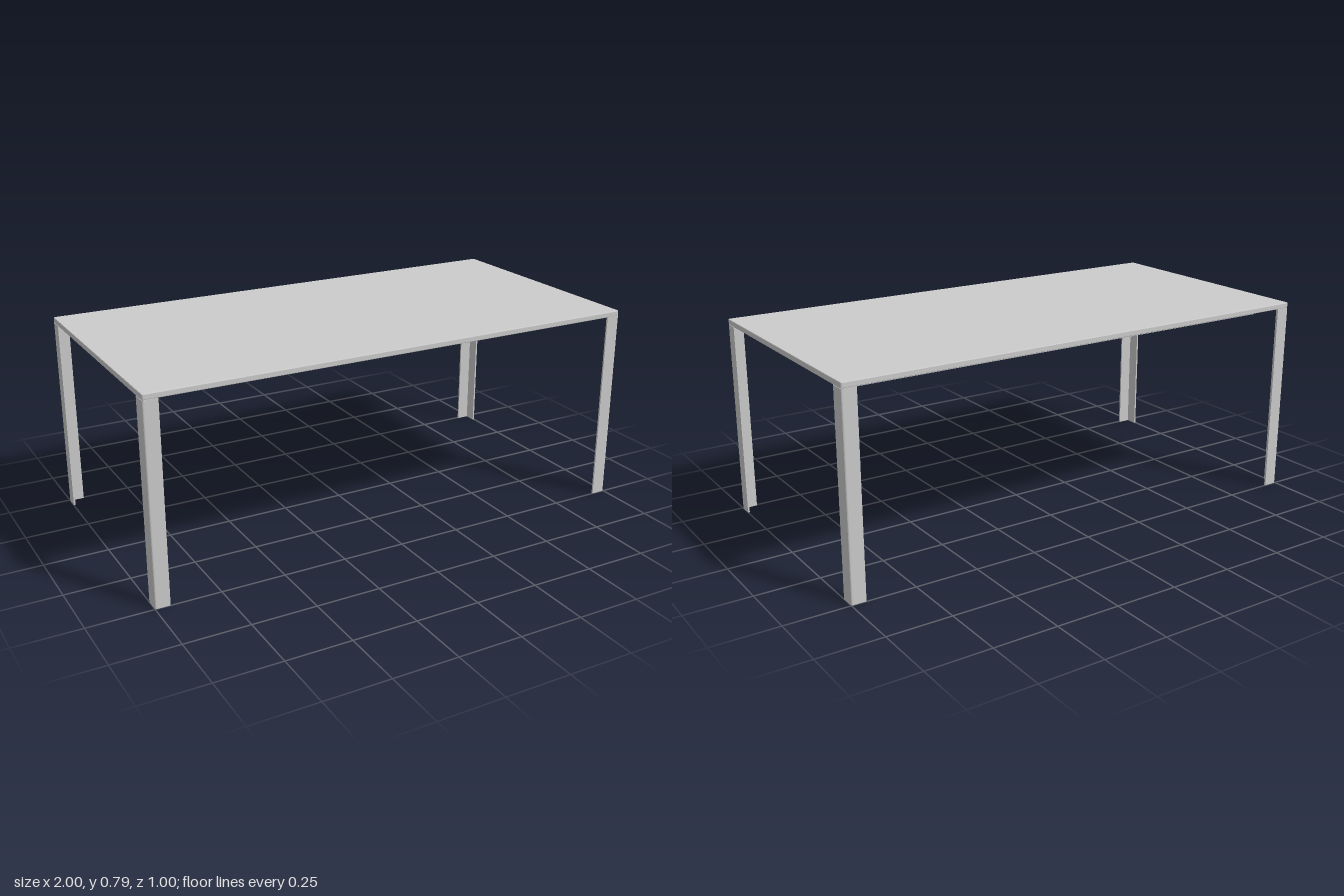
import * as THREE from 'three';

const material = new THREE.MeshStandardMaterial({ color: 0xcccccc });
const W = 1, D = 0.5;                       // half width and half depth
const TOP = 0.79, UNDER = 0.768;            // table top surface and underside
const R = 0.008;                            // outer corner radius

// Rectangle with rounded corners, centred on the origin
function roundedRect(w, d, r) {
  const s = new THREE.Shape();
  s.absarc(w - r, d - r, r, 0, Math.PI / 2);
  s.absarc(-w + r, d - r, r, Math.PI / 2, Math.PI);
  s.absarc(-w + r, -d + r, r, Math.PI, Math.PI * 1.5);
  s.absarc(w - r, -d + r, r, Math.PI * 1.5, Math.PI * 2);
  s.closePath();
  return s;
}

// Extrudes a plan shape upwards from y0 to y1, with an optional edge bevel
function slab(name, shape, y0, y1, bevel = 0) {
  const geometry = new THREE.ExtrudeGeometry(shape, {
    depth: y1 - y0 - 2 * bevel, curveSegments: 5,
    bevelEnabled: bevel > 0, bevelSize: bevel, bevelThickness: bevel,
    bevelOffset: -bevel, bevelSegments: 2,
  });
  geometry.rotateX(-Math.PI / 2).translate(0, y0 + bevel, 0);
  const mesh = new THREE.Mesh(geometry, material);
  mesh.name = name;
  return mesh;
}

// Angle-section leg with its rounded edge at the outer corner
function legShape(sx, sy) {
  const a = 0.057, t = 0.007;
  const s = new THREE.Shape();
  const p = (x, y) => [sx * (W - x), sy * (D - y)];
  s.moveTo(...p(a, 0));
  s.lineTo(...p(R, 0));
  s.quadraticCurveTo(...p(0, 0), ...p(0, R));
  s.lineTo(...p(0, a));
  s.lineTo(...p(t, a));
  s.lineTo(...p(t, t));
  s.lineTo(...p(a, t));
  s.closePath();
  return s;
}

export function createModel() {
  const table = new THREE.Group();
  table.name = 'table';

  // Thin top with softened edges
  table.add(slab('tableTop', roundedRect(W, D, R), UNDER, TOP, 0.003));

  // Rectangular frame under the top
  const fw = 0.905, fd = 0.405, t = 0.02;
  const rect = (C, w, d) => new C([[-w, -d], [w, -d], [w, d], [-w, d]].map(([x, y]) => new THREE.Vector2(x, y)));
  const frame = rect(THREE.Shape, fw, fd);
  frame.holes.push(rect(THREE.Path, fw - t, fd - t));
  table.add(slab('underFrame', frame, 0.735, UNDER + 0.002));

  // Four corner legs
  for (const [sx, xName] of [[1, 'left'], [-1, 'right']]) {
    for (const [sy, zName] of [[-1, 'Front'], [1, 'Back']]) {
      table.add(slab(`${xName}${zName}Leg`, legShape(sx, sy), 0, UNDER));
    }
  }
  return table;
}
